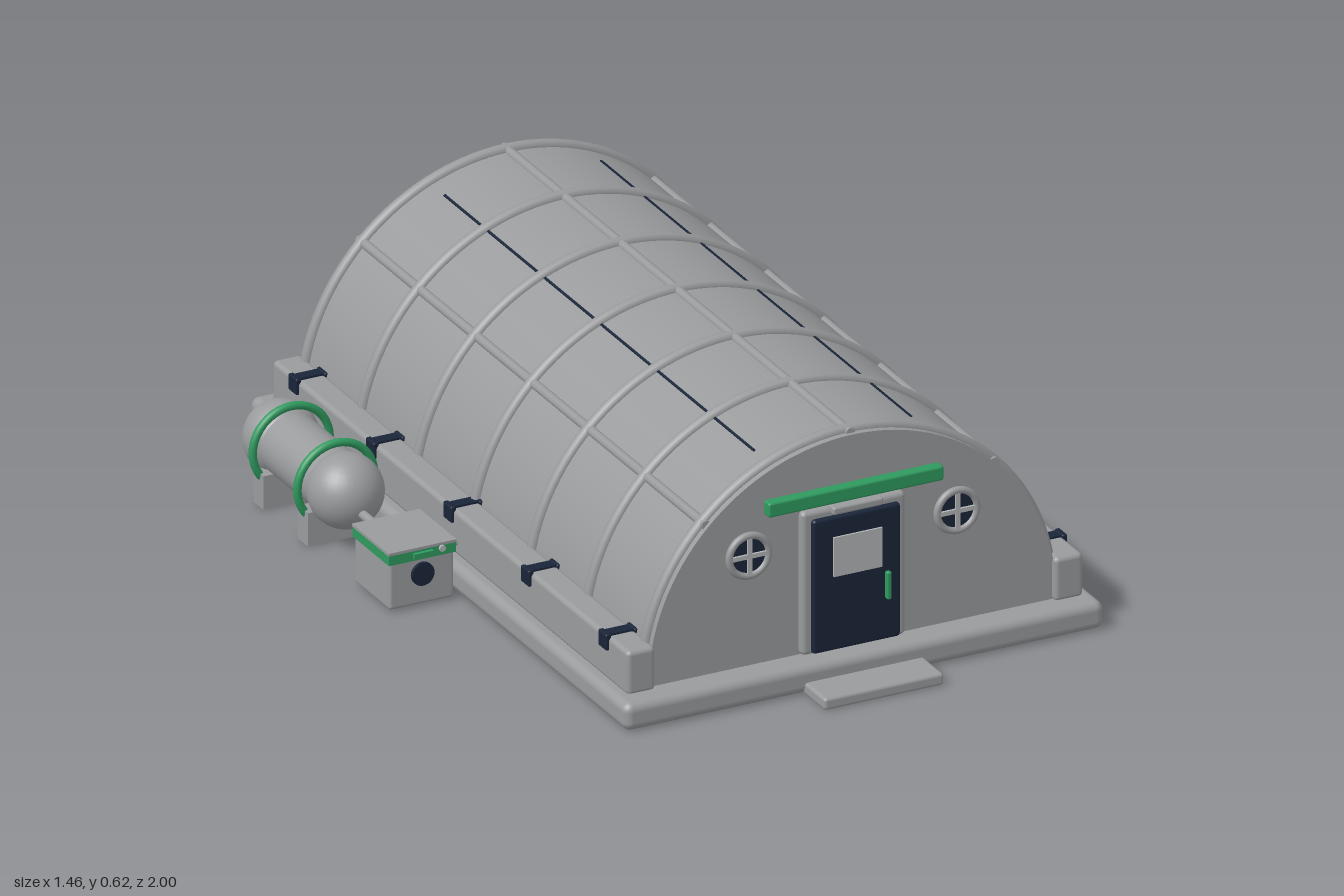
import * as THREE from 'three';
import { RoundedBoxGeometry } from 'three/addons/geometries/RoundedBoxGeometry.js';

const material = (name, color) => {
  const m = new THREE.MeshStandardMaterial({ color });
  m.name = name;
  return m;
};

export function createModel() {
  const grey = material('grey', 0x9a9b9d);
  const pale = material('pale grey', 0xb4b5b6);
  const navy = material('navy', 0x1a2539);
  const green = material('green', 0x2f9a5f);

  const model = new THREE.Group();
  model.name = 'arched shelter';
  const CX = 0.105, FLOOR = 0.07, R = 0.53, Z0 = -0.935, Z1 = 0.83;
  const midZ = (Z0 + Z1) / 2, length = Z1 - Z0;

  const add = (name, geometry, mat, x = 0, y = 0, z = 0, parent = model) => {
    const mesh = new THREE.Mesh(geometry, mat);
    mesh.name = name;
    mesh.position.set(x, y, z);
    parent.add(mesh);
    return mesh;
  };
  // Box given by its limits, optionally rounded
  const box = (name, mat, [x0, x1], [y0, y1], [z0, z1], r = 0) => {
    const s = [x1 - x0, y1 - y0, z1 - z0];
    const g = r ? new RoundedBoxGeometry(...s, 3, r) : new THREE.BoxGeometry(...s);
    return add(name, g, mat, (x0 + x1) / 2, (y0 + y1) / 2, (z0 + z1) / 2);
  };
  const rodZ = (r, l, sides = 16) => new THREE.CylinderGeometry(r, r, l, sides).rotateX(Math.PI / 2);

  // Foundation and entrance step
  box('foundation', grey, [-0.52, 0.725], [0, FLOOR], [-1, 0.9], 0.022);
  box('step', grey, [-0.055, 0.255], [0, 0.03], [0.85, 1], 0.008);

  // Half-round hall with closed ends
  add('shell', new THREE.CylinderGeometry(R, R, length, 64, 1, false, Math.PI / 2, Math.PI)
    .rotateX(Math.PI / 2), grey, CX, FLOOR, midZ);

  // Arched ribs
  for (let i = 0; i < 7; i++) {
    add('rib', new THREE.TorusGeometry(R, 0.015, 10, 56, Math.PI), grey, CX, FLOOR, -0.91 + i * 0.285);
  }
  // Lengthwise purlins at the crown and shoulders
  for (const a of [-Math.PI / 4, 0, Math.PI / 4]) {
    add('purlin', rodZ(0.012, length - 0.02, 10), grey,
      CX + R * Math.sin(a), FLOOR + R * Math.cos(a), midZ);
  }
  // Fine dark roof seams
  for (const a of [-Math.PI / 8, Math.PI / 8]) {
    const seam = add('roof seam', new THREE.BoxGeometry(0.006, 0.006, 1.56), navy,
      CX + R * Math.sin(a), FLOOR + R * Math.cos(a), -0.05);
    seam.rotation.z = -a;
  }

  // Side curbs with strap clamps
  for (const s of [-1, 1]) {
    const x = CX + s * 0.555;
    box('curb', grey, [x - 0.037, x + 0.037], [FLOOR - 0.005, 0.177], [-0.945, 0.845], 0.012);
    for (let i = 0; i < 5; i++) {
      const z = -0.83 + i * 0.39;
      box('clamp strap', navy, [x - 0.04, x + 0.04], [0.15, 0.182], [z - 0.015, z + 0.015]);
      for (const e of [-1, 1]) {
        const ex = x + e * 0.037;
        box('clamp pad', navy, [ex - 0.007, ex + 0.007], [0.143, 0.184], [z - 0.021, z + 0.021], 0.004);
      }
    }
  }

  // Door with frame, window, handle and lamp
  box('door frame', grey, [-0.035, 0.235], [FLOOR, 0.435], [0.81, 0.848], 0.012);
  box('door', navy, [-0.012, 0.215], [0.075, 0.415], [0.83, 0.86], 0.008);
  box('door window', pale, [0.039, 0.165], [0.265, 0.365], [0.855, 0.865]);
  box('door handle', green, [0.174, 0.186], [0.18, 0.25], [0.855, 0.872], 0.004);
  box('door lamp', grey, [0.037, 0.168], [0.421, 0.441], [0.835, 0.866], 0.006);
  box('sign bar', green, [-0.125, 0.33], [0.445, 0.482], [0.825, 0.855], 0.006);

  // Round windows with cross bars
  for (const s of [-1, 1]) {
    const porthole = new THREE.Group();
    porthole.name = 'porthole';
    porthole.position.set(CX - 0.005 + s * 0.27, 0.355, Z1);
    model.add(porthole);
    add('porthole glass', rodZ(0.052, 0.024, 32), navy, 0, 0, 0, porthole);
    add('porthole ring', new THREE.TorusGeometry(0.051, 0.009, 10, 36), grey, 0, 0, 0.011, porthole);
    add('cross bar', new THREE.BoxGeometry(0.1, 0.011, 0.008), pale, 0, 0, 0.014, porthole);
    add('cross bar', new THREE.BoxGeometry(0.011, 0.1, 0.008), pale, 0, 0, 0.014, porthole);
  }

  // Storage tank with domed ends, bands and saddles
  const TX = -0.62, TY = 0.136;
  add('tank body', rodZ(0.078, 0.33, 36), grey, TX, TY, -0.478);
  for (const z of [-0.64, -0.316]) {
    add('tank dome', new THREE.SphereGeometry(0.091, 32, 20), grey, TX, TY, z);
  }
  for (const z of [-0.59, -0.365]) {
    add('tank band', new THREE.TorusGeometry(0.1, 0.01, 10, 40), green, TX, TY, z);
    box('tank saddle', grey, [TX - 0.085, TX + 0.085], [0, 0.085], [z - 0.025, z + 0.025]);
  }
  add('tank pipe', rodZ(0.011, 0.14), grey, TX, 0.11, -0.165);

  // Pump cabinet beside the hall
  box('cabinet', grey, [-0.704, -0.536], [0.006, 0.15], [-0.11, 0.068], 0.008);
  box('cabinet trim', green, [-0.707, -0.533], [0.122, 0.148], [-0.113, 0.071]);
  box('cabinet lid', grey, [-0.708, -0.532], [0.147, 0.154], [-0.114, 0.072]);
  add('cabinet dial', rodZ(0.029, 0.014, 24), navy, TX, 0.085, 0.069);
  add('cabinet lamp', rodZ(0.008, 0.012), pale, -0.57, 0.14, 0.071);
  box('cabinet latch', green, [-0.645, -0.595], [0.128, 0.142], [0.068, 0.08]);
  add('cabinet pipe', new THREE.CylinderGeometry(0.01, 0.01, 0.07, 14).rotateZ(Math.PI / 2),
    grey, -0.512, 0.1, -0.02);

  return model;
}
